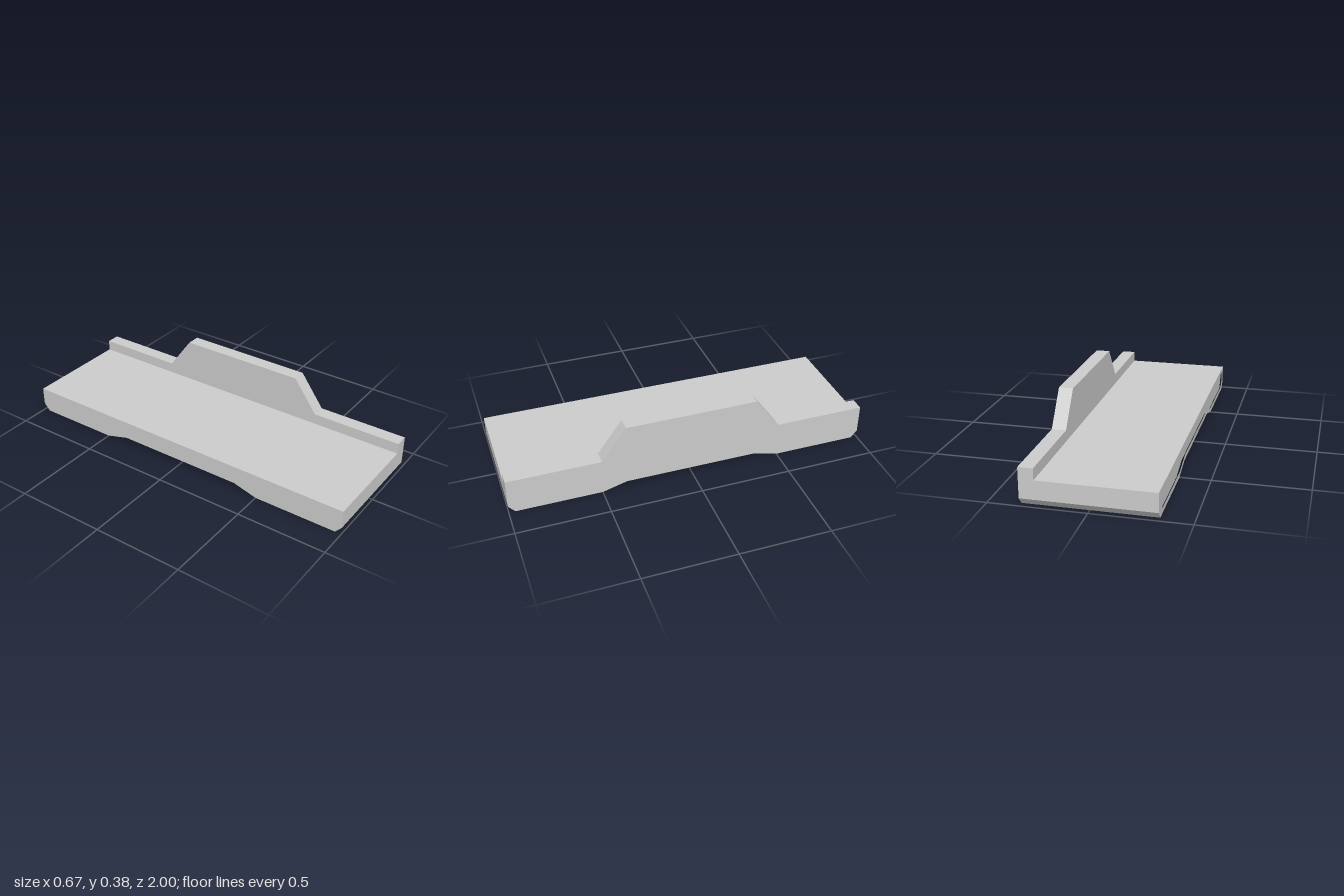
import * as THREE from 'three';

const material = new THREE.MeshStandardMaterial({ color: 0xcccccc, flatShading: true });

// Mirror a half profile of [z, y] points, listed from top to bottom, across z = 0
function mirrored(half) {
  const all = [...half, ...half.slice().reverse().map(([z, y]) => [-z, y])];
  return all.map(([z, y]) => new THREE.Vector2(z, y));
}

// Extrude a side profile across the model from x0 to x1, with an optional opening
function slab(name, half, x0, x1, hole) {
  const shape = new THREE.Shape(mirrored(half));
  if (hole) shape.holes.push(new THREE.Path(mirrored(hole)));
  const geometry = new THREE.ExtrudeGeometry(shape, { depth: x1 - x0, bevelEnabled: false });
  geometry.rotateY(Math.PI / 2).translate(x0, 0, 0);
  const mesh = new THREE.Mesh(geometry, material);
  mesh.name = name;
  return mesh;
}

export function createModel() {
  const group = new THREE.Group();
  group.name = 'steppedPlatform';

  // Shared underside: chamfered ends and a raised middle
  const underside = [[1, 0.04], [0.965, 0], [0.5, 0], [0.365, 0.037]];
  const deck = [[1, 0.14], ...underside];
  const wall = [[0.362, 0.384], [0.497, 0.2], [1, 0.2], ...underside];

  // Recesses: a long slot in the deck edge and a panel in the wall
  const slot = [[0.95, 0.115], [0.95, 0.06], [0.915, 0.028], [0.49, 0.028], [0.355, 0.064]];
  const panel = [[0.32, 0.357], [0.32, 0.165]];

  group.add(slab('deckEdge', deck, -0.337, -0.322, slot));
  group.add(slab('deck', deck, -0.322, 0.26));
  group.add(slab('wallInnerFace', wall, 0.26, 0.275, panel));
  group.add(slab('wall', wall, 0.275, 0.337));
  return group;
}
